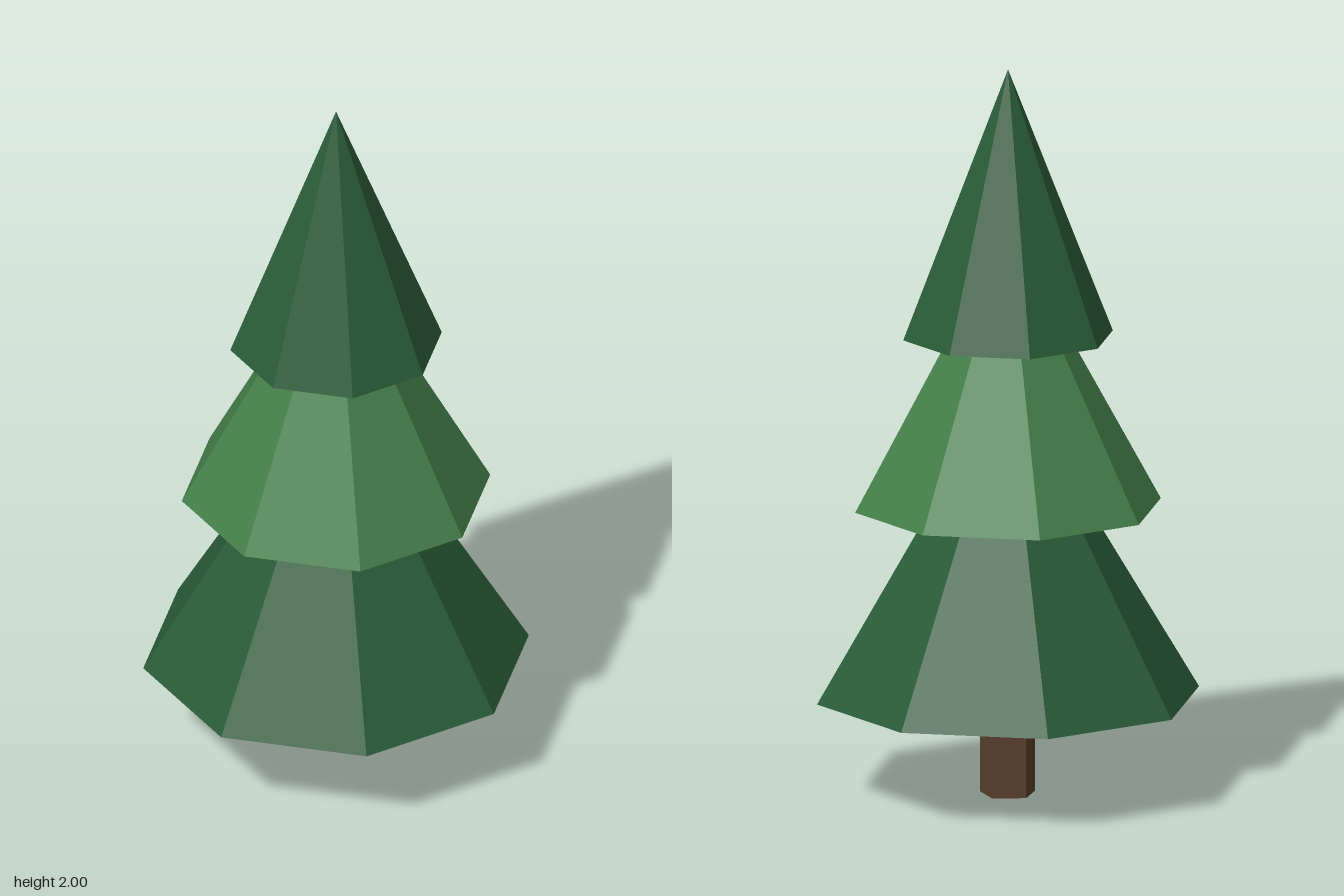
import * as THREE from 'three';

function material(name, color) {
  const m = new THREE.MeshStandardMaterial({ color, flatShading: true });
  m.name = name;
  return m;
}

export function createModel() {
  const tree = new THREE.Group();
  tree.name = 'pineTree';

  const bark = material('bark brown', 0x5a3f2b);
  const dark = material('dark green', 0x2a5c38);
  const light = material('light green', 0x44804a);

  // Five-sided trunk, flat side to the front, reaching up inside the foliage
  const trunk = new THREE.Mesh(
    new THREE.CylinderGeometry(0.078, 0.078, 0.4, 5, 1, false, Math.PI), bark);
  trunk.name = 'trunk';
  trunk.position.y = 0.2;
  tree.add(trunk);

  // Three overlapping eight-sided foliage cones, corners on the axes
  const tiers = [
    ['lowerFoliage', 0.525, 0.27, 0.885, dark],
    ['middleFoliage', 0.42, 0.795, 0.77, light],
    ['upperFoliage', 0.288, 1.265, 0.735, dark],
  ];
  for (const [name, radius, base, height, mat] of tiers) {
    const cone = new THREE.Mesh(new THREE.ConeGeometry(radius, height, 8), mat);
    cone.name = name;
    cone.position.y = base + height / 2;
    tree.add(cone);
  }

  return tree;
}
